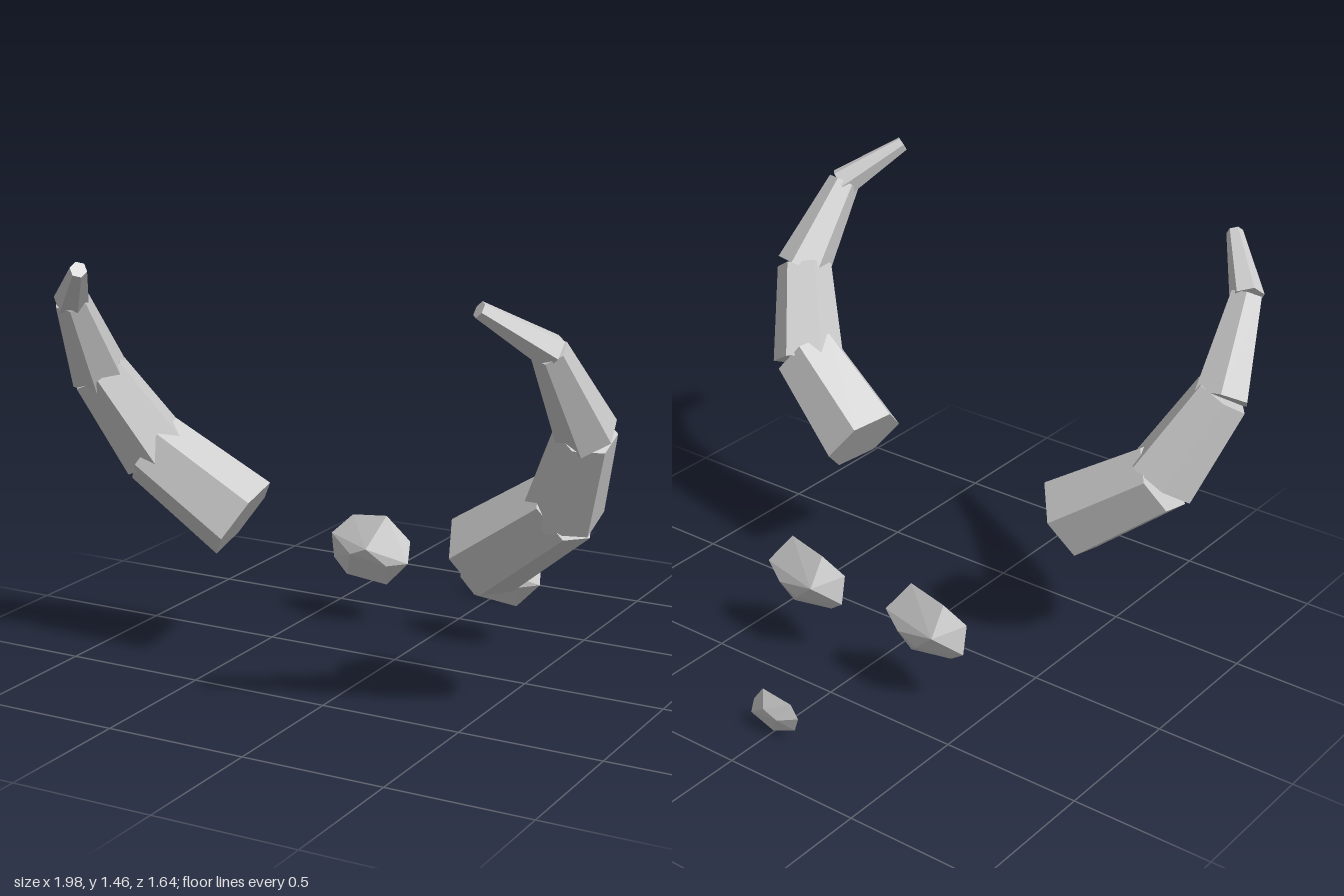
import * as THREE from 'three';
import { ConvexGeometry } from 'three/addons/geometries/ConvexGeometry.js';

const material = new THREE.MeshStandardMaterial({ color: 0xcccccc, flatShading: true });
const V = (x, y, z) => new THREE.Vector3(x, y, z);

// Horn joints (x, y, z, radius) for the +x side, from base to tip
const JOINTS = [
  [0.455, 0.52, 0.25, 0.155],
  [0.77, 0.745, 0.315, 0.13],
  [0.895, 1.03, 0.45, 0.1],
  [0.855, 1.31, 0.64, 0.058],
  [0.705, 1.445, 0.8, 0.028],
];

// Tapered six-sided segment from a to b, one corner turned by roll from straight up
function segment(a, b, side, roll, overlap) {
  const p = V(a[0] * side, a[1], a[2]);
  const q = V(b[0] * side, b[1], b[2]);
  const dir = q.clone().sub(p).normalize();
  p.addScaledVector(dir, -overlap);
  const up = V(0, 1, 0).addScaledVector(dir, -dir.y).normalize();
  const across = V().crossVectors(dir, up);
  const zAxis = up.multiplyScalar(Math.cos(roll)).addScaledVector(across, Math.sin(roll));
  const xAxis = V().crossVectors(dir, zAxis);
  const mesh = new THREE.Mesh(new THREE.CylinderGeometry(b[3], a[3], p.distanceTo(q), 6), material);
  mesh.quaternion.setFromRotationMatrix(new THREE.Matrix4().makeBasis(xAxis, dir, zAxis));
  mesh.position.copy(p).add(q).multiplyScalar(0.5);
  mesh.name = 'hornSegment';
  return mesh;
}

function horn(side, roll) {
  const group = new THREE.Group();
  for (let i = 0; i < JOINTS.length - 1; i++) {
    group.add(segment(JOINTS[i], JOINTS[i + 1], side, roll, i ? 0.012 : 0));
  }
  group.name = side > 0 ? 'leftHorn' : 'rightHorn';
  return group;
}

// Faceted pebble from its corner points
function pebble(name, corners, x, y, z) {
  const mesh = new THREE.Mesh(new ConvexGeometry(corners.map((c) => V(...c))), material);
  mesh.position.set(x, y, z);
  mesh.name = name;
  return mesh;
}

const EYE = [
  [0.06, 0.13, 0], [-0.09, 0.11, -0.02], [0.06, -0.13, 0], [-0.1, -0.11, 0.01],
  [0.16, -0.03, 0.025], [0.13, 0.03, -0.05], [-0.165, -0.06, -0.01], [-0.16, 0.04, 0.015],
  [-0.05, -0.01, 0.075], [0.02, 0.02, 0.085], [0.09, -0.04, 0.06],
  [-0.09, 0.01, -0.085], [0.06, -0.02, -0.075], [-0.01, -0.06, -0.07],
];

const NOSE = [
  [-0.075, 0.06, 0], [0.045, 0.075, 0], [0.095, 0.01, 0.01], [0.09, -0.03, -0.012],
  [0.005, -0.075, 0], [-0.085, -0.04, 0.005], [-0.11, 0.02, -0.005],
  [-0.02, 0.01, 0.035], [0.04, -0.01, 0.027], [-0.04, 0.0, -0.032], [0.02, 0.02, -0.03],
];

export function createModel() {
  const model = new THREE.Group();
  model.name = 'hornsAndFace';
  const deg = Math.PI / 180;
  // The two horns are turned half a facet apart about their axes
  const left = horn(1, 20 * deg);
  const right = horn(-1, 14 * deg);
  model.add(left, right);
  model.add(pebble('leftEye', EYE, 0.26, 0.29, -0.31));
  model.add(pebble('rightEye', EYE, -0.26, 0.29, -0.31));
  model.add(pebble('nose', NOSE, 0, 0.08, -0.79));
  return model;
}
